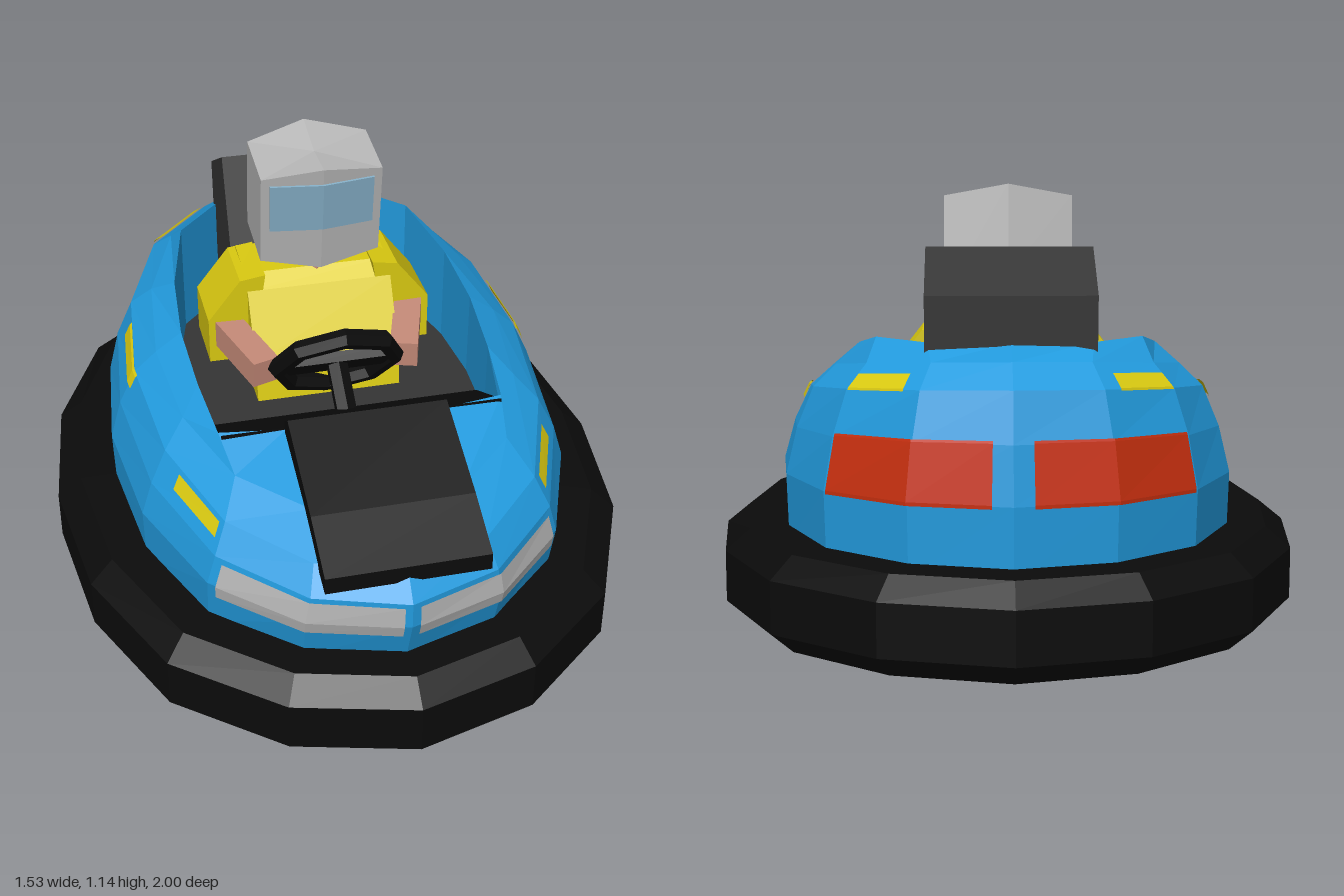
import * as THREE from 'three';

const mat = (name, color, side = THREE.FrontSide) => {
  const m = new THREE.MeshStandardMaterial({ color, side, flatShading: true });
  m.name = name;
  return m;
};
const lerp = THREE.MathUtils.lerp;

// Sixteen-sided rounded oval: index 0 is the front, 4 is +x, 8 is the back
const SX = [0, 0.405, 0.745, 0.94, 1], CZ = [1, 0.92, 0.71, 0.38, 0];
function oval(i) {
  i = ((i % 16) + 16) % 16;
  const s = i > 8 ? -1 : 1, j = i > 8 ? 16 - i : i;
  return j > 4 ? [s * SX[8 - j], -CZ[8 - j]] : [s * SX[j], CZ[j]];
}
const range = (n, f) => Array.from({ length: n }, (_, i) => f(i));

// Skin closed rings of points from bottom to top, with optional flat caps
function loft(rings, capBottom, capTop) {
  const pos = [], n = rings[0].length;
  const tri = (...p) => p.forEach(q => pos.push(...q));
  for (let r = 0; r + 1 < rings.length; r++)
    for (let i = 0; i < n; i++) {
      const k = (i + 1) % n, A = rings[r], B = rings[r + 1];
      tri(A[i], A[k], B[k], A[i], B[k], B[i]);
    }
  const cap = (ring, up) => {
    const c = [0, 1, 2].map(d => ring.reduce((s, p) => s + p[d], 0) / n);
    ring.forEach((p, i) => {
      const q = ring[(i + 1) % n];
      if (up) tri(c, p, q); else tri(c, q, p);
    });
  };
  if (capBottom) cap(rings[0], false);
  if (capTop) cap(rings[rings.length - 1], true);
  return toGeometry(pos);
}
function toGeometry(pos) {
  const g = new THREE.BufferGeometry();
  g.setAttribute('position', new THREE.Float32BufferAttribute(pos, 3));
  g.computeVertexNormals();
  return g;
}
function extrude(points, depth) {
  const shape = new THREE.Shape(points.map(p => new THREE.Vector2(...p)));
  return new THREE.ExtrudeGeometry(shape, { depth, bevelEnabled: false });
}
// Side profile of [z, y] points, extruded across x
const extrudeX = (points, half) =>
  extrude(points, half * 2).rotateY(-Math.PI / 2).translate(half, 0, 0);

// Body rings: half width, front z, back z, front y, back y
const BODY = [
  [0.6, 0.84, -0.83, 0.2, 0.24],
  [0.605, 0.89, -0.835, 0.35, 0.42],
  [0.575, 0.89, -0.815, 0.42, 0.56],
  [0.53, 0.84, -0.78, 0.485, 0.68],
  [0.47, 0.7, -0.7, 0.545, 0.735],
];
const bodyRings = BODY.map(([rx, zf, zb, yf, yb]) => range(16, i => {
  const [sx, cz] = oval(i), z = cz > 0 ? cz * zf : -cz * zb;
  return [rx * sx, lerp(yb, yf, (z - zb) / (zf - zb)), z];
}));
// Cockpit rim, half of it from front to back
const RIM = [[0, 0.4], [0.2, 0.4], [0.37, 0.38], [0.39, 0.2], [0.4, 0],
  [0.385, -0.2], [0.33, -0.42], [0.2, -0.56], [0, -0.58]];
const rimAt = (i, y) => {
  const [x, z] = RIM[i > 8 ? 16 - i : i];
  return [i > 8 ? -x : x, y ?? Math.min(0.765, 0.62 + (0.4 - z) * 0.175), z];
};
bodyRings.push(range(16, i => rimAt(i)));

// Point on the body skin, u around and v up, lifted slightly outward
function skin(u, v) {
  const i = Math.floor(u), r = Math.min(Math.floor(v), 4), a = u - i, b = v - r;
  const P = (rr, ii) => bodyRings[rr][(ii + 16) % 16];
  const p = [0, 1, 2].map(d => lerp(lerp(P(r, i)[d], P(r, i + 1)[d], a),
    lerp(P(r + 1, i)[d], P(r + 1, i + 1)[d], a), b));
  return [p[0] * 1.012, p[1] + 0.004, p[2] * 1.01];
}
// Thin lamp that follows the body facets
function patch(u0, u1, v0, v1) {
  const cuts = (a, b) => {
    const c = [a];
    for (let k = Math.floor(a) + 1; k < b; k++) c.push(k);
    return [...c, b];
  };
  const us = cuts(u0, u1), vs = cuts(v0, v1), pos = [];
  for (let i = 0; i + 1 < us.length; i++)
    for (let j = 0; j + 1 < vs.length; j++) {
      const a = skin(us[i], vs[j]), b = skin(us[i + 1], vs[j]);
      const c = skin(us[i + 1], vs[j + 1]), d = skin(us[i], vs[j + 1]);
      pos.push(...a, ...b, ...c, ...a, ...c, ...d);
    }
  return toGeometry(pos);
}

export function createModel() {
  const blue = mat('body blue', 0x229bde, THREE.DoubleSide);
  const black = mat('rubber black', 0x0b0b0b);
  const dark = mat('seat grey', 0x353535);
  const yellow = mat('yellow', 0xd9c911, THREE.DoubleSide);
  const red = mat('tail light red', 0xc9300f, THREE.DoubleSide);
  const grey = mat('light grey', 0xb8b8b8, THREE.DoubleSide);
  const glass = mat('visor blue', 0x86b0c8);
  const skinTone = mat('skin', 0xc58a78);

  const root = new THREE.Group();
  root.name = 'bumperCar';
  const add = (name, geo, material, parent = root) => {
    const m = new THREE.Mesh(geo, material);
    m.name = name;
    parent.add(m);
    return m;
  };

  // Rubber bumper, tipped slightly up at the back
  const bumper = [[0.7, 0.94, 0], [0.765, 1, 0.055], [0.765, 1, 0.185],
    [0.7, 0.94, 0.238], [0.57, 0.8, 0.238]];
  add('bumper', loft(bumper.map(([rx, rz, y]) => range(16, i => {
    const [sx, cz] = oval(i);
    return [sx * rx, y + 0.02 - 0.021 * cz * rz, cz * rz];
  })), true, true), black);

  // Body shell with the cockpit wall, floor and dashboard
  const floorRing = range(16, i => rimAt(i, 0.44));
  add('body', loft([...bodyRings, floorRing]), blue);
  add('cockpitFloor', loft([floorRing.map(p => [p[0], 0.45, p[2]])], false, true), dark);
  add('dashboard', extrudeX([[0.4, 0.44], [0.4, 0.625], [0.2, 0.52], [0.2, 0.44]], 0.365), black);
  add('hoodPanel', extrudeX([[0.85, 0.46], [0.85, 0.505], [0.7, 0.575], [0.44, 0.675],
    [0.405, 0.65], [0.405, 0.58]], 0.205), black);
  add('seat', extrudeX([[-0.2, 0.45], [-0.41, 0.985], [-0.6, 0.88], [-0.59, 0.72], [-0.5, 0.45]], 0.207), dark);

  // Lamps, mirrored left and right
  const lamps = [
    ['headlight', 0.08, 1.9, 0.75, 1.85, grey],
    ['tailLight', 6.05, 7.8, 0.95, 2.05, red],
    ['frontMarker', 2.05, 2.7, 2.45, 2.9, yellow],
    ['sideMarker', 3.9, 4.65, 2.65, 3.1, yellow],
    ['rearMarker', 6.05, 6.8, 2.95, 3.55, yellow],
  ];
  for (const [name, u0, u1, v0, v1, m] of lamps) {
    add(name + 'Left', patch(u0, u1, v0, v1), m);
    add(name + 'Right', patch(16 - u1, 16 - u0, v0, v1), m);
  }

  // Steering wheel
  const wheel = new THREE.Group();
  wheel.name = 'steeringWheel';
  add('wheelRim', new THREE.TorusGeometry(0.16, 0.027, 6, 8), black, wheel);
  add('wheelSpoke', new THREE.BoxGeometry(0.3, 0.06, 0.03), black, wheel);
  add('wheelColumn', new THREE.CylinderGeometry(0.03, 0.03, 0.18, 6)
    .rotateX(Math.PI / 2).translate(0, 0, 0.09), black, wheel);
  wheel.position.set(0, 0.605, 0.1);
  wheel.rotation.x = 0.64;
  root.add(wheel);

  // Driver
  const driver = new THREE.Group();
  driver.name = 'driver';
  root.add(driver);
  add('torso', extrudeX([[-0.28, 0.45], [0.02, 0.45], [0, 0.56], [-0.1, 0.73],
    [-0.14, 0.765], [-0.28, 0.775]], 0.2), yellow, driver);
  for (const s of [1, -1]) {
    const side = s > 0 ? 'Left' : 'Right';
    const sleeve = [[0.15, 0.775], [0.22, 0.765], [0.31, 0.65], [0.31, 0.52], [0.19, 0.52]];
    add('sleeve' + side, extrude(sleeve.map(([x, y]) => [s * x, y]), 0.19)
      .translate(0, 0, -0.29), yellow, driver);
    const from = new THREE.Vector3(s * 0.265, 0.61, -0.14), to = new THREE.Vector3(s * 0.19, 0.59, 0.09);
    const arm = add('forearm' + side, new THREE.BoxGeometry(0.075, 0.075, from.distanceTo(to)), skinTone, driver);
    arm.position.copy(from).lerp(to, 0.5);
    arm.lookAt(to);
  }
  add('neck', new THREE.CylinderGeometry(0.065, 0.07, 0.14, 6).translate(0, 0.79, -0.2), skinTone, driver);

  // Helmet with a ridged crown, tipped forward
  const helmet = new THREE.Group();
  helmet.name = 'helmet';
  const plan = [[0, 0.12], [0.163, 0.1], [0.163, -0.085], [0, -0.13], [-0.163, -0.085], [-0.163, 0.1]];
  const low = [-0.16, -0.13, -0.13, -0.075, -0.13, -0.13];
  add('helmetShell', loft([
    plan.map(([x, z], i) => [x, low[i], z]),
    plan.map(([x, z]) => [x, x ? 0.13 : 0.155, z]),
  ], true, true), grey, helmet);
  const visor = [[-0.14, 0.095], [0, 0.112], [0.14, 0.095], [0.14, 0.109], [0, 0.126], [-0.14, 0.109]];
  add('visor', extrude(visor.map(([x, z]) => [x, -z]), 0.14)
    .rotateX(-Math.PI / 2).translate(0, -0.03, 0), glass, helmet);
  helmet.position.set(0, 0.965, -0.18);
  helmet.rotation.x = 0.13;
  driver.add(helmet);

  return root;
}
